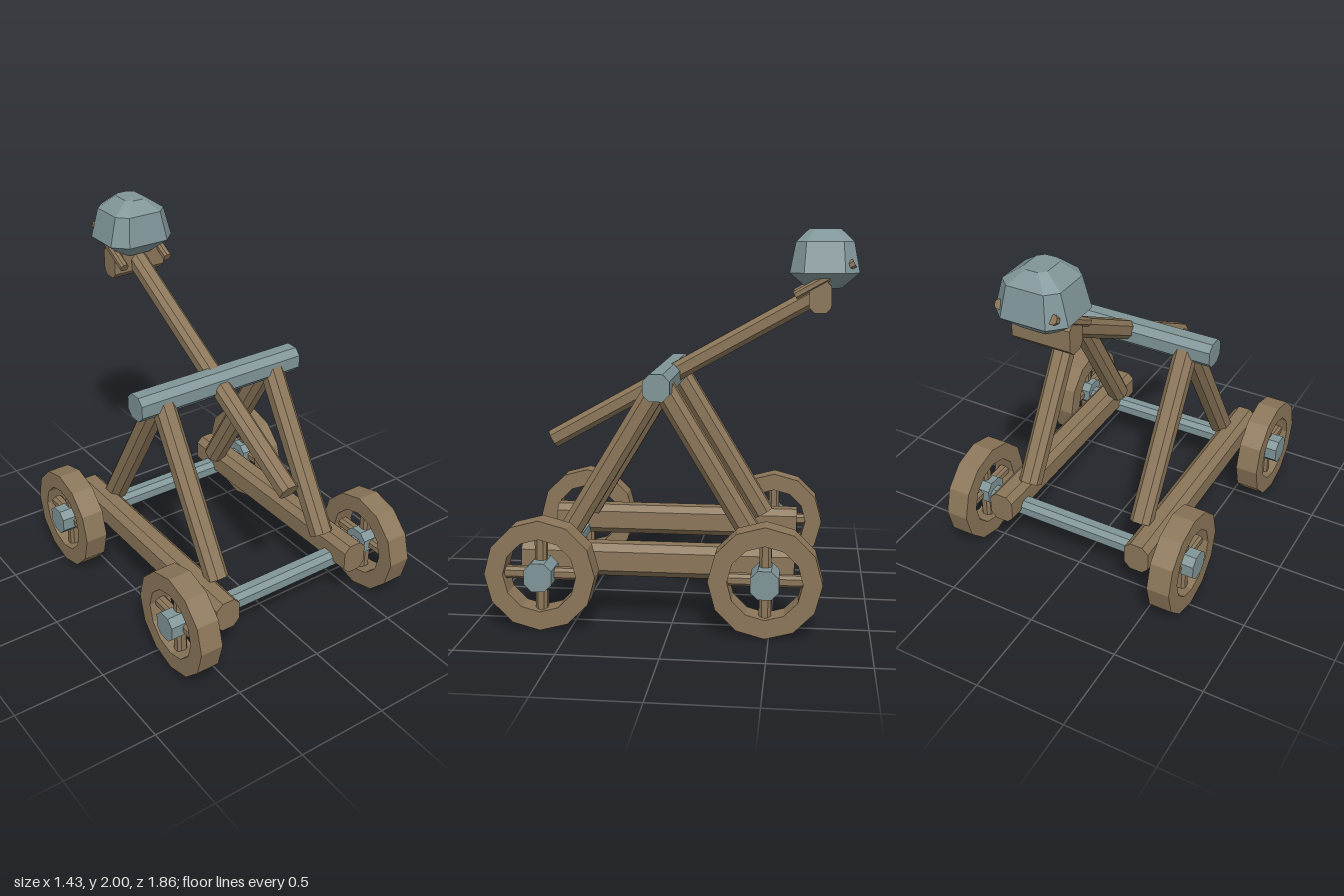
import * as THREE from 'three';
import { ConvexGeometry } from 'three/addons/geometries/ConvexGeometry.js';

const wood = new THREE.MeshStandardMaterial({ color: 0x8b7659 });
wood.name = 'wood';
const stone = new THREE.MeshStandardMaterial({ color: 0x809598 });
stone.name = 'blueGrey';

const V = (x, y, z) => new THREE.Vector3(x, y, z);

// Corners of a rectangle with cut corners, given half sizes and the cut
function cutRect(a, b, c) {
  return [[a, b - c], [a - c, b], [c - a, b], [-a, b - c], [-a, c - b], [c - a, -b], [a - c, -b], [a, c - b]];
}

// Chamfered beam running from one point to another
function beam(name, from, to, width, height, cut, material) {
  const shape = new THREE.Shape(cutRect(width / 2, height / 2, cut).map(p => new THREE.Vector2(...p)));
  const geometry = new THREE.ExtrudeGeometry(shape, { depth: from.distanceTo(to), bevelEnabled: false });
  const mesh = new THREE.Mesh(geometry, material);
  mesh.name = name;
  mesh.position.copy(from);
  mesh.lookAt(to);
  return mesh;
}

function ringPoints(radius, sides) {
  return Array.from({ length: sides }, (_, i) => {
    const t = (i / sides) * Math.PI * 2;
    return new THREE.Vector2(Math.cos(t) * radius, Math.sin(t) * radius);
  });
}

// Twelve-sided wheel with crossed spokes and a protruding hub
function wheel(side, z) {
  const group = new THREE.Group();
  group.name = 'wheel';
  const shape = new THREE.Shape(ringPoints(0.283, 12));
  shape.holes.push(new THREE.Path(ringPoints(0.187, 12).reverse()));
  const geometry = new THREE.ExtrudeGeometry(shape, { depth: 0.126, bevelEnabled: false });
  geometry.translate(0, 0, -0.063).rotateY(Math.PI / 2);
  const rim = new THREE.Mesh(geometry, wood);
  rim.name = 'rim';
  group.add(
    rim,
    beam('uprightSpoke', V(0, -0.21, 0), V(0.0001, 0.21, 0), 0.06, 0.06, 0.015, wood),
    beam('levelSpoke', V(0, 0, -0.21), V(0, 0, 0.21), 0.06, 0.06, 0.015, wood),
    beam('hub', V(-0.066, 0, 0), V(0.066, 0, 0), 0.14, 0.144, 0.037, stone),
    beam('hubCap', V(side * 0.06, 0, 0), V(side * 0.096, 0, 0), 0.14, 0.144, 0.037, stone)
  );
  group.position.set(side * 0.62, 0.283, z);
  return group;
}

// Faceted boulder made from stacked cut rectangles
function boulder() {
  const levels = [ // height, half width, half depth, corner cut
    [1.695, 0.1, 0.09, 0.04],
    [1.775, 0.195, 0.18, 0.075],
    [1.935, 0.153, 0.15, 0.055],
    [2.0, 0.062, 0.083, 0.03]
  ];
  const points = levels.flatMap(([y, a, b, c]) => cutRect(a, b, c).map(([x, z]) => V(x, y, z - 0.747)));
  const mesh = new THREE.Mesh(new ConvexGeometry(points), stone);
  mesh.name = 'boulder';
  return mesh;
}

export function createModel() {
  const model = new THREE.Group();
  model.name = 'catapult';

  // Axles
  for (const z of [0.645, -0.482]) {
    model.add(beam('axle', V(-0.6, 0.258, z), V(0.6, 0.258, z), 0.1, 0.1, 0.026, stone));
  }

  // Wheels, side rails and slanted legs on both sides
  for (const s of [-1, 1]) {
    model.add(
      wheel(s, 0.648),
      wheel(s, -0.48),
      beam('sideRail', V(s * 0.42, 0.313, -0.62), V(s * 0.42, 0.313, 0.787), 0.14, 0.17, 0.035, wood),
      beam('frontLeg', V(s * 0.35, 0.386, 0.585), V(s * 0.35, 1.2, 0.096), 0.115, 0.115, 0.03, wood),
      beam('rearLeg', V(s * 0.35, 0.386, -0.428), V(s * 0.35, 1.2, 0.062), 0.115, 0.115, 0.03, wood),
      beam('prong', V(s * 0.14, 1.66, -0.597), V(s * 0.14, 1.827, -0.897), 0.046, 0.046, 0.012, wood)
    );
  }

  // Pivot bar, throwing arm and head
  model.add(
    beam('pivotBar', V(-0.505, 1.215, 0.08), V(0.505, 1.215, 0.08), 0.138, 0.138, 0.035, stone),
    beam('throwingArm', V(0, 0.86, 0.717), V(0, 1.68, -0.75), 0.1, 0.1, 0.025, wood),
    beam('armHead', V(-0.158, 1.652, -0.728), V(0.158, 1.652, -0.728), 0.115, 0.165, 0.028, wood),
    boulder()
  );
  return model;
}
